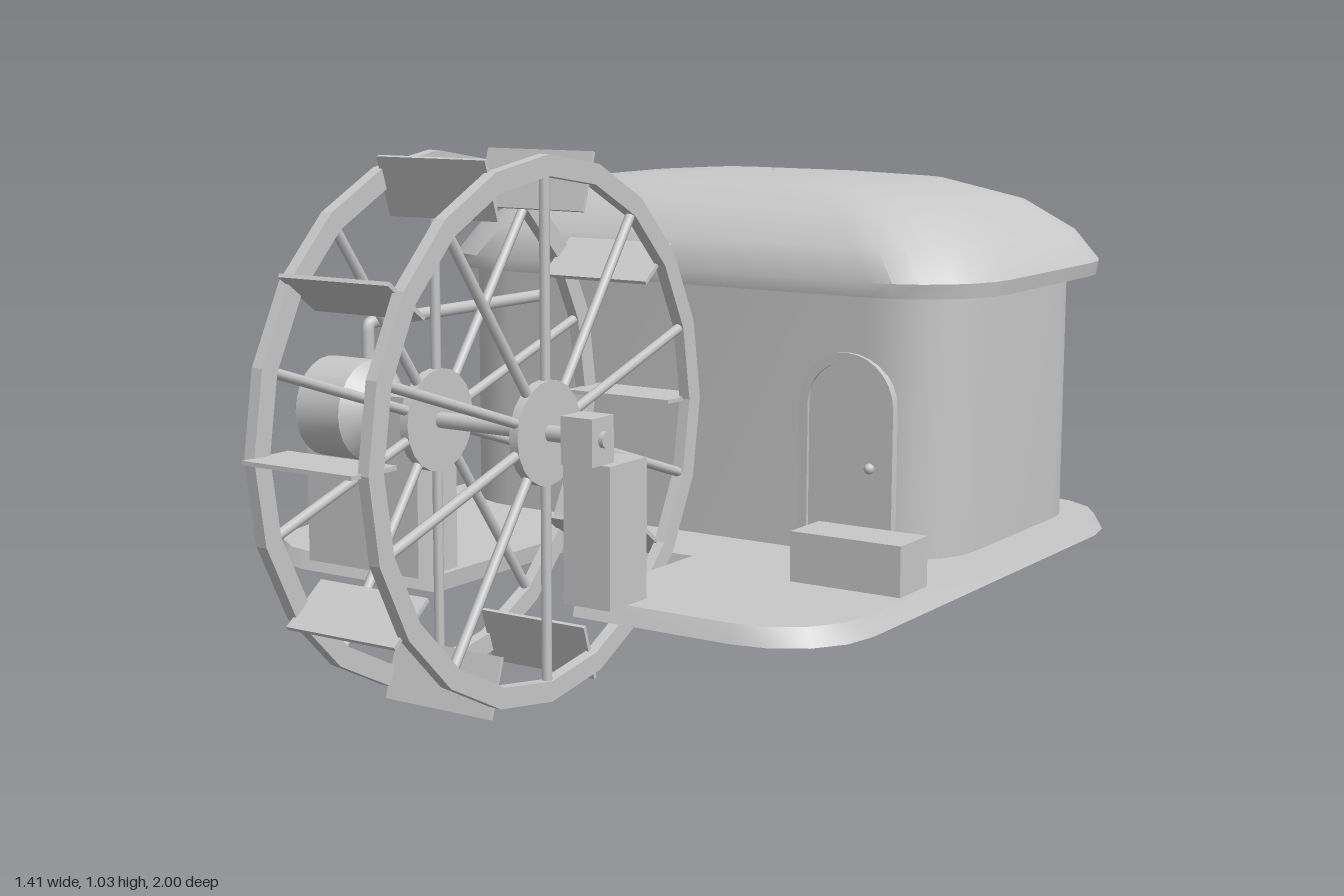
import * as THREE from 'three';
import { toCreasedNormals } from 'three/addons/utils/BufferGeometryUtils.js';

// Rounded rectangle outline, counter-clockwise
function roundedRect(hx, hz, r, steps) {
  const pts = [];
  [[1, 1], [-1, 1], [-1, -1], [1, -1]].forEach(([sx, sz], k) => {
    for (let i = 0; i <= steps; i++) {
      const a = (k + i / steps) * Math.PI / 2;
      pts.push([sx * (hx - r) + r * Math.cos(a), sz * (hz - r) + r * Math.sin(a)]);
    }
  });
  return pts;
}

// Skin over rounded rectangles [halfX, halfZ, cornerRadius, y], listed bottom to top
function loft(rings, steps, crease) {
  const pos = [], idx = [], n = 4 * (steps + 1);
  for (const [hx, hz, r, y] of rings)
    for (const [x, z] of roundedRect(hx, hz, r, steps)) pos.push(x, y, -z);
  for (let i = 0; i < rings.length - 1; i++)
    for (let j = 0; j < n; j++) {
      const a = i * n + j, b = i * n + (j + 1) % n;
      idx.push(a, b, b + n, a, b + n, a + n);
    }
  const g = new THREE.BufferGeometry();
  g.setAttribute('position', new THREE.Float32BufferAttribute(pos, 3));
  g.setIndex(idx);
  return toCreasedNormals(g, crease);
}

export function createModel() {
  const model = new THREE.Group();
  model.name = 'waterMill';
  const clay = new THREE.MeshStandardMaterial({ color: 0xc8c8c8 });
  clay.name = 'lightGrey';

  const add = (name, geo, x = 0, y = 0, z = 0, parent = model) => {
    const m = new THREE.Mesh(geo, clay);
    m.name = name;
    m.position.set(x, y, z);
    parent.add(m);
    return m;
  };
  const block = (name, x0, x1, y0, y1, z0, z1) => add(name,
    new THREE.BoxGeometry(x1 - x0, y1 - y0, z1 - z0), (x0 + x1) / 2, (y0 + y1) / 2, (z0 + z1) / 2);

  // Base slab with a slot for the wheel; the top is slightly smaller than the bottom
  const outline = roundedRect(0.705, 0.705, 0.19, 4).map(([x, z]) => new THREE.Vector2(x, z));
  outline.splice(15, 0,
    new THREE.Vector2(-0.165, -0.705), new THREE.Vector2(-0.165, -0.285),
    new THREE.Vector2(0.165, -0.285), new THREE.Vector2(0.165, -0.705));
  const slab = new THREE.ExtrudeGeometry(new THREE.Shape(outline), { depth: 0.035, bevelEnabled: false });
  slab.rotateX(-Math.PI / 2);
  const sp = slab.attributes.position;
  for (let i = 0; i < sp.count; i++)
    if (sp.getY(i) > 0.02) sp.setXYZ(i, sp.getX(i) * 0.978, sp.getY(i), sp.getZ(i) * 0.978);
  add('base', toCreasedNormals(slab, 0.6), 0, 0.165, -0.28);

  // House walls and domed roof
  add('walls', loft([[0.62, 0.37, 0.17, 0.2], [0.62, 0.37, 0.17, 0.75]], 6, 0.6), 0, 0, -0.56);
  add('roof', loft([
    [0.55, 0.3, 0.12, 0.735], [0.675, 0.415, 0.21, 0.735], [0.68, 0.42, 0.215, 0.765],
    [0.635, 0.393, 0.22, 0.83], [0.535, 0.33, 0.2, 0.895], [0.37, 0.235, 0.15, 0.938],
    [0.2, 0.11, 0.08, 0.951], [0.002, 0.002, 0.001, 0.953],
  ], 6, 0.75), 0, 0, -0.58);

  // Arched door with frame and knob
  const arch = (r, h) => {
    const pts = [new THREE.Vector2(r, 0)];
    for (let i = 0; i <= 14; i++) {
      const a = i / 14 * Math.PI;
      pts.push(new THREE.Vector2(r * Math.cos(a), h + r * Math.sin(a)));
    }
    pts.push(new THREE.Vector2(-r, 0));
    return pts;
  };
  const plate = (pts, depth) => new THREE.ExtrudeGeometry(new THREE.Shape(pts), { depth, bevelEnabled: false });
  add('doorFrame', toCreasedNormals(plate([...arch(0.108, 0.31), ...arch(0.088, 0.31).reverse()], 0.02), 0.6),
    0.413, 0.2, -0.2);
  add('door', plate(arch(0.09, 0.31), 0.008), 0.413, 0.2, -0.195);
  add('doorKnob', new THREE.SphereGeometry(0.011, 12, 8), 0.47, 0.386, -0.178);

  // Round windows at the back
  for (const s of [-1, 1])
    add('backWindow', new THREE.TorusGeometry(0.07, 0.013, 8, 28), s * 0.295, 0.52, -0.935);

  // Step block and wheel supports
  block('stepBlock', 0.435, 0.675, 0.2, 0.3, -0.037, 0.075);
  block('generatorPier', -0.46, -0.175, 0.2, 0.472, 0.345, 0.467);
  block('bearingPier', 0.175, 0.28, 0.2, 0.472, 0.345, 0.467);
  block('leftBearing', 0.19, 0.26, 0.472, 0.562, 0.425, 0.495);
  block('rightBearing', -0.25, -0.18, 0.472, 0.562, 0.425, 0.495);

  // Water wheel, turning about the x axis
  const wheel = new THREE.Group();
  wheel.name = 'wheel';
  wheel.position.set(0, 0.52, 0.46);
  model.add(wheel);
  const polygon = (r) => Array.from({ length: 20 }, (_, i) => {
    const a = i * Math.PI / 10;
    return new THREE.Vector2(r * Math.cos(a), r * Math.sin(a));
  });
  const rimShape = new THREE.Shape(polygon(0.517));
  rimShape.holes.push(new THREE.Path(polygon(0.477)));
  const rim = new THREE.ExtrudeGeometry(rimShape, { depth: 0.024, bevelEnabled: false });
  rim.translate(0, 0, -0.012).rotateY(Math.PI / 2);
  const hub = new THREE.CylinderGeometry(0.1, 0.1, 0.02, 20).rotateZ(Math.PI / 2);
  const spoke = new THREE.CylinderGeometry(0.01, 0.01, 0.42, 8).translate(0, 0.28, 0);
  const paddle = new THREE.BoxGeometry(0.25, 0.117, 0.008).translate(0, 0.4815, 0);
  for (const s of [-1, 1]) {
    add('rim', rim, s * 0.13, 0, 0, wheel);
    add('hub', hub, s * 0.13, 0, 0, wheel);
    for (let i = 0; i < 10; i++)
      add('spoke', spoke, s * 0.13, 0, 0, wheel).rotation.x = i * Math.PI / 5;
  }
  for (let i = 0; i < 10; i++)
    add('paddle', paddle, 0, 0, 0, wheel).rotation.x = (i + 0.5) * Math.PI / 5;
  add('axle', new THREE.CylinderGeometry(0.016, 0.016, 0.54, 12).rotateZ(Math.PI / 2), 0, 0, 0, wheel);

  // Barrel-shaped generator and its pipe to the house
  const barrel = [[0, -0.092], [0.06, -0.092], [0.1, -0.055], [0.1, 0.055], [0.06, 0.092], [0, 0.092]]
    .map(([r, y]) => new THREE.Vector2(r, y));
  add('generator', toCreasedNormals(new THREE.LatheGeometry(barrel, 24).rotateZ(Math.PI / 2), 0.6),
    -0.352, 0.522, 0.456);
  const bend = new THREE.CurvePath();
  const corner = [[-0.352, 0.58, 0.4], [-0.352, 0.67, 0.4], [-0.352, 0.686, 0.386], [-0.35, 0.686, -0.22]]
    .map((p) => new THREE.Vector3(...p));
  bend.add(new THREE.LineCurve3(corner[0], corner[1]));
  bend.add(new THREE.QuadraticBezierCurve3(corner[1], new THREE.Vector3(-0.352, 0.686, 0.4), corner[2]));
  bend.add(new THREE.LineCurve3(corner[2], corner[3]));
  add('pipe', new THREE.TubeGeometry(bend, 90, 0.013, 10));

  return model;
}
